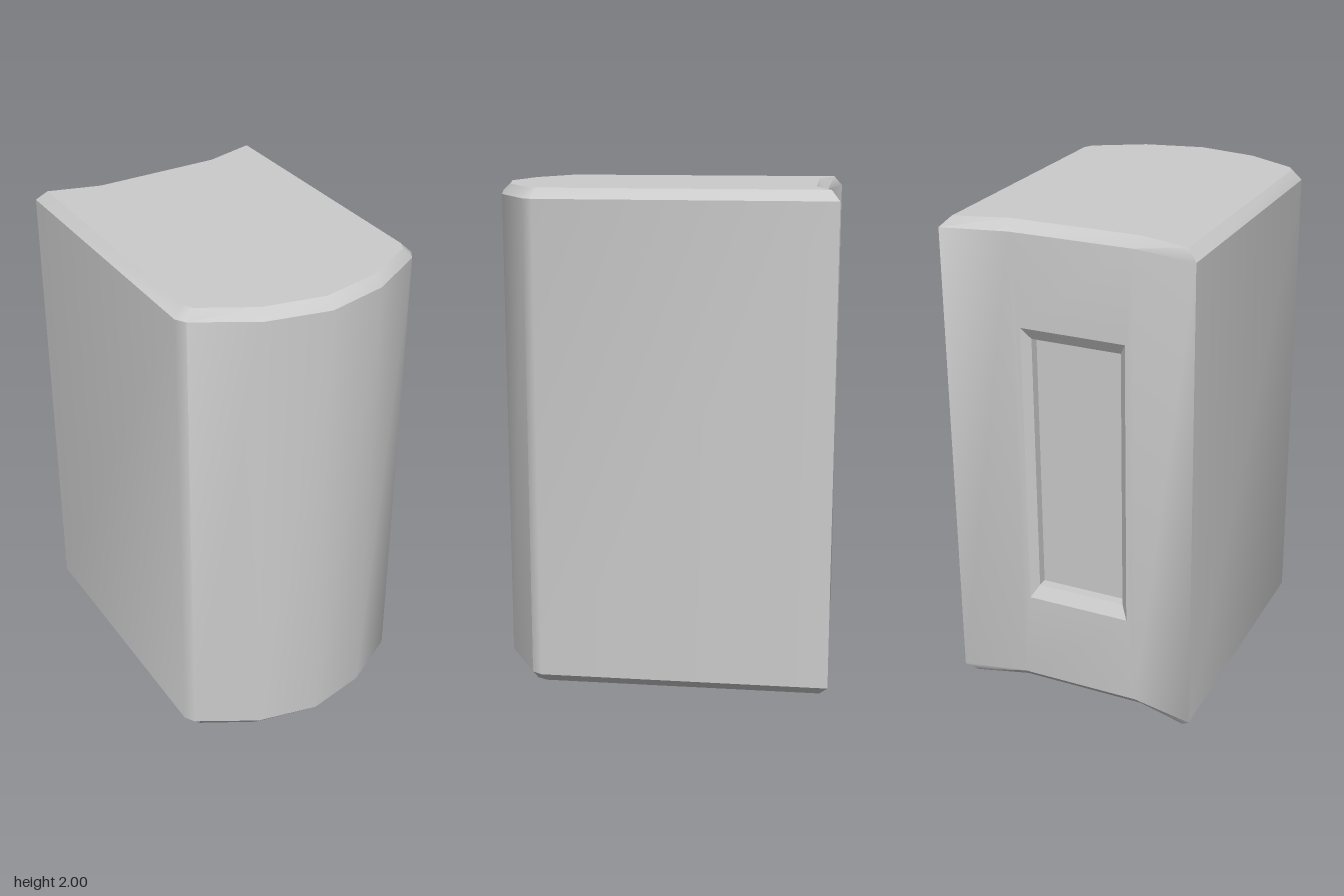
import * as THREE from 'three';
import { toCreasedNormals } from 'three/addons/utils/BufferGeometryUtils.js';

// Right half of an outline from front centre to back, mirrored into a closed loop of [x, z]
const mirror = (half) => [
  ...half,
  ...half.slice(1).reverse().map(([x, z]) => [-x, z]),
];

const OUTER = mirror([[0, 0.695], [0.25, 0.64], [0.485, 0.505], [0.51, 0.465], [0.51, -0.695], [0.25, -0.64]]);
const INNER = mirror([[0, 0.655], [0.245, 0.605], [0.45, 0.49], [0.47, 0.45], [0.47, -0.662], [0.26, -0.602]]);
const BACK = 5; // index of the flat back segment
const CHAMFER = 0.04;

// Joins two loops of [x, y, z] points with quads, optionally leaving one segment open
function bridge(out, a, b, skip = -1) {
  a.forEach((p, i) => {
    if (i === skip) return;
    const j = (i + 1) % a.length;
    out.push(...p, ...a[j], ...b[j], ...p, ...b[j], ...b[i]);
  });
}

// Fills a horizontal loop, facing up or down
function cap(out, loop, up) {
  const flat = loop.map(([x, , z]) => new THREE.Vector2(x, -z));
  for (const tri of THREE.ShapeUtils.triangulateShape(flat, [])) {
    const order = up ? tri : [...tri].reverse();
    order.forEach((k) => out.push(...loop[k]));
  }
}

function makeMesh(name, positions, crease) {
  let geometry = new THREE.BufferGeometry();
  geometry.setAttribute('position', new THREE.Float32BufferAttribute(positions, 3));
  geometry = toCreasedNormals(geometry, crease);
  const mesh = new THREE.Mesh(geometry, new THREE.MeshStandardMaterial({ color: 0xcccccc }));
  mesh.name = name;
  return mesh;
}

export function createModel() {
  const group = new THREE.Group();
  group.name = 'block';

  // Body: chamfered column with a bowed front and a hollowed back
  const body = [];
  const levels = [[INNER, 0], [OUTER, CHAMFER], [OUTER, 2 - CHAMFER], [INNER, 2]]
    .map(([loop, y]) => loop.map(([x, z]) => [x, y, z]));
  for (let i = 0; i < 3; i++) bridge(body, levels[i], levels[i + 1], i === 1 ? BACK : -1);
  cap(body, levels[0], false);
  cap(body, levels[3], true);

  // Back panel frame around the recess, kept with the body so the shading flows across
  const rect = (w, h, z) => [[w, 1 - h, z], [-w, 1 - h, z], [-w, 1 + h, z], [w, 1 + h, z]];
  const opening = rect(0.215, 0.59, -0.64);
  const lip = rect(0.185, 0.54, -0.61);
  const floor = rect(0.185, 0.54, -0.57);
  bridge(body, rect(0.25, 1 - CHAMFER, -0.64), opening);
  group.add(makeMesh('body', body, 0.65));

  // Recess: sloped lip, straight walls and floor
  const recess = [];
  bridge(recess, opening, lip);
  bridge(recess, lip, floor);
  const [a, b, c, d] = floor;
  recess.push(...a, ...b, ...c, ...a, ...c, ...d);
  group.add(makeMesh('backRecess', recess, 0.3));

  return group;
}
